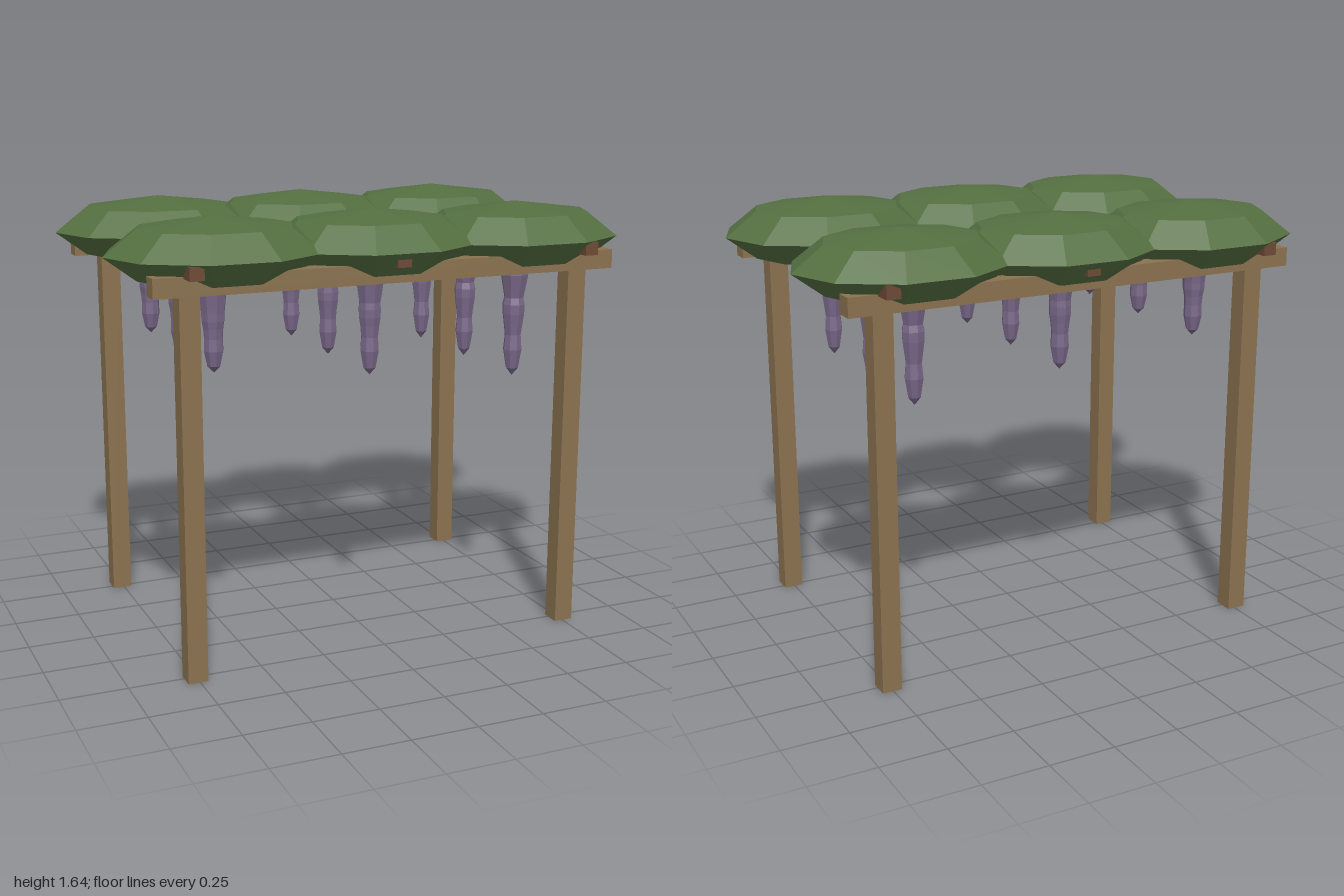
import * as THREE from 'three';

const mat = (name, color) => {
  const m = new THREE.MeshStandardMaterial({ color, flatShading: true });
  m.name = name;
  return m;
};

export function createModel() {
  const model = new THREE.Group();
  model.name = 'pergola';
  const wood = mat('light wood', 0x8b7250);
  const rafterWood = mat('reddish wood', 0x6e4a36);
  const leaf = mat('leaf green', 0x546f41);
  const blossom = mat('blossom purple', 0x796889);

  const add = (name, geometry, material, x, y, z) => {
    const mesh = new THREE.Mesh(geometry, material);
    mesh.name = name;
    mesh.position.set(x, y, z);
    model.add(mesh);
    return mesh;
  };

  // Posts and the long beams they carry
  const post = new THREE.BoxGeometry(0.074, 1.418, 0.074);
  const beam = new THREE.BoxGeometry(1.78, 0.07, 0.07);
  for (const side of [1, -1]) {
    for (const x of [-0.757, 0.754]) add('post', post, wood, x, 0.709, side * 0.515 + 0.002);
    add('longBeam', beam, wood, -0.002, 1.435, side * 0.543 + 0.002);
  }

  // Rafters across the beams
  const rafter = new THREE.BoxGeometry(0.052, 0.048, 1.296);
  for (const x of [-0.759, -0.003, 0.754]) add('rafter', rafter, rafterWood, x, 1.488, 0.002);

  // Faceted leaf canopies, two rows of three
  const canopy = new THREE.SphereGeometry(1, 10, 4);
  canopy.scale(0.405, 0.126, 0.34);
  for (const x of [-0.595, 0, 0.595])
    for (const z of [-0.352, 0.352]) add('leafCanopy', canopy, leaf, x, 1.516, z);

  // Hanging blossoms: tapering bulges whose necks deepen as the cluster stretches
  const clusterGeometry = (bottom, neck) => {
    const h = 1.5 - bottom;
    const profile = [
      [1, 0], [0.94, 0.025], [0.8, 0.02], [0.745, 0.037], [0.62, 0.033 + neck * 1.1],
      [0.55, 0.036 + neck], [0.46, 0.043], [0.41, 0.037 + neck], [0.24, 0.053],
      [0.08, 0.047], [0, 0]
    ];
    // lower rings: tip, bulge, neck
    profile[1][1] = 0.024;
    profile[2][1] = 0.036;
    profile[3] = [0.69, 0.031 + neck * 0.4];
    profile[4] = [0.6, 0.037];
    profile[5] = [0.53, 0.042];
    return new THREE.LatheGeometry(profile.map(([t, r]) => new THREE.Vector2(r, bottom + h * (1 - t))), 8);
  };
  const columns = [[-0.64, 1.105, 0.008], [-0.045, 1.045, 0.004], [0.55, 0.99, 0]];
  for (const [x, bottom, neck] of columns) {
    const cluster = clusterGeometry(bottom, neck);
    for (const z of [0.445, 0.055, -0.335]) add('blossomCluster', cluster, blossom, x, 0, z);
  }
  return model;
}
